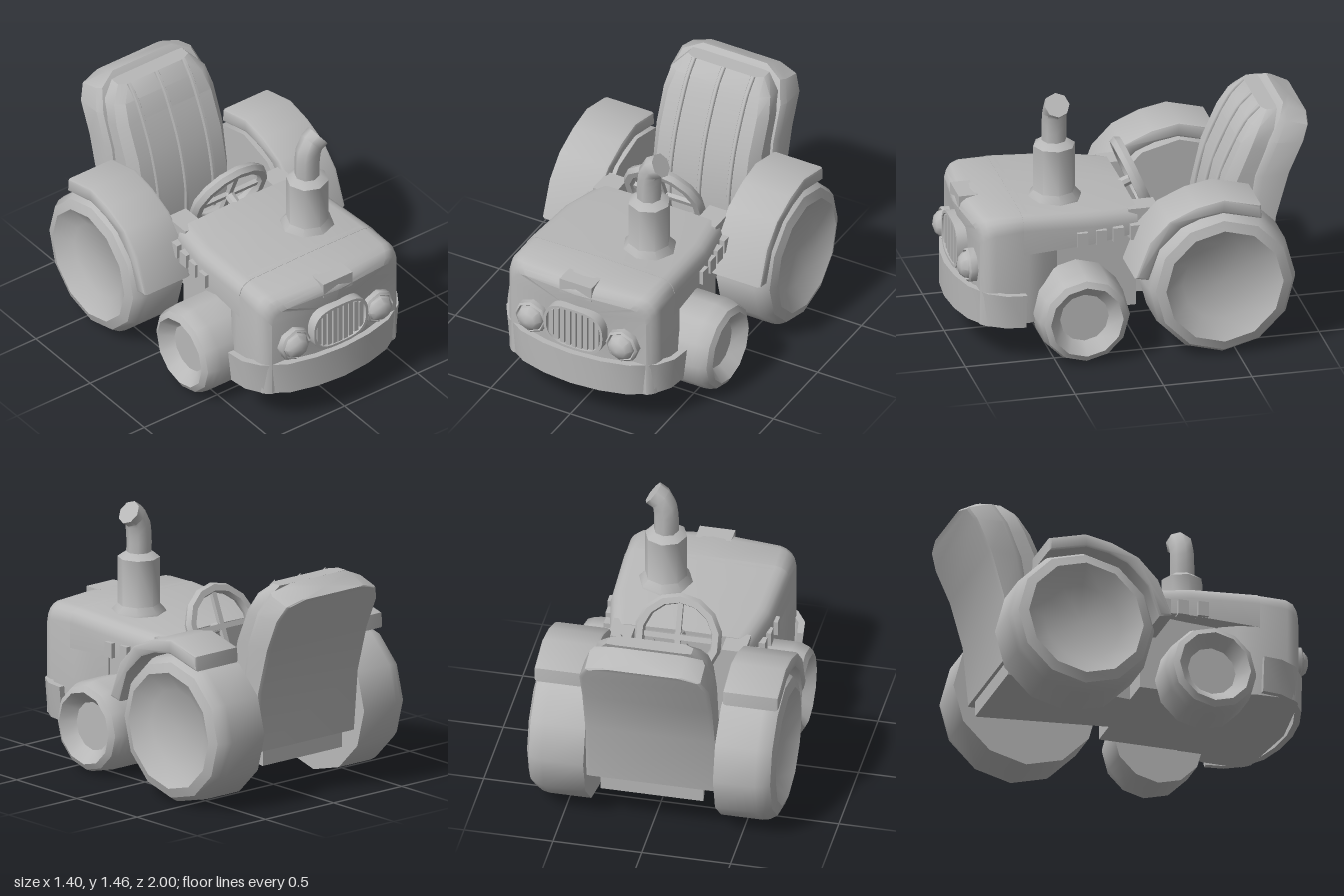
import * as THREE from 'three';
import { toCreasedNormals } from 'three/addons/utils/BufferGeometryUtils.js';

export function createModel() {
  const group = new THREE.Group();
  const grey = new THREE.MeshStandardMaterial({ color: 0xb8b8b8 });
  grey.name = 'plain grey';

  const add = (name, geo, x = 0, y = 0, z = 0, crease = 0.6) => {
    const mesh = new THREE.Mesh(toCreasedNormals(geo, crease), grey);
    mesh.name = name;
    mesh.position.set(x, y, z);
    group.add(mesh);
    return mesh;
  };
  const box = (name, w, h, d, x, y, z) => add(name, new THREE.BoxGeometry(w, h, d), x, y, z);

  // Skin a stack of rings (counter-clockwise seen from the last ring) and cap both ends
  const loft = (rings) => {
    const n = rings[0].length, pos = rings.flat(2), idx = [];
    for (let r = 0; r < rings.length - 1; r++) {
      for (let i = 0; i < n; i++) {
        const a = r * n + i, b = r * n + (i + 1) % n;
        idx.push(a, b, b + n, a, b + n, a + n);
      }
    }
    [rings[0], rings[rings.length - 1]].forEach((ring, end) => {
      const c = pos.length / 3, base = end ? (rings.length - 1) * n : 0;
      for (let k = 0; k < 3; k++) pos.push(ring.reduce((s, p) => s + p[k], 0) / n);
      for (let i = 0; i < n; i++) {
        const a = base + i, b = base + (i + 1) % n;
        idx.push(c, end ? a : b, end ? b : a);
      }
    });
    const g = new THREE.BufferGeometry();
    g.setAttribute('position', new THREE.Float32BufferAttribute(pos, 3));
    g.setIndex(idx);
    g.computeVertexNormals();
    return g;
  };

  // Bonnet cross-section with rounded top corners; bow curves the nose
  const bodyRing = ([z, w, top, bot, r = 0.08, bow = 0]) => [
    [w, bot], [w, top - r], [w - 0.1 * r, top - 0.6 * r], [w - 0.3 * r, top - 0.3 * r],
    [w - 0.6 * r, top - 0.1 * r], [w - r, top], [0, top + 0.006],
    [r - w, top], [0.6 * r - w, top - 0.1 * r], [0.3 * r - w, top - 0.3 * r],
    [0.1 * r - w, top - 0.6 * r], [-w, top - r], [-w, bot], [0, bot],
  ].map(([x, y]) => [x, y, z - bow * x * x]);

  add('nose', loft([
    [0.45, 0.37, 0.82, 0.21], [0.54, 0.43, 0.835, 0.21], [0.63, 0.465, 0.842, 0.21],
    [0.85, 0.47, 0.84, 0.21, 0.09, 0.15], [0.91, 0.46, 0.825, 0.21, 0.09, 0.25],
    [0.94, 0.44, 0.80, 0.21, 0.09, 0.3], [0.95, 0.42, 0.77, 0.21, 0.09, 0.3],
  ].map(bodyRing)));
  add('bonnet', loft([
    [0, 0.40, 0.80, 0.66], [0.27, 0.455, 0.825, 0.64], [0.66, 0.468, 0.843, 0.62],
  ].map(bodyRing)));
  box('chassis', 0.72, 0.45, 0.5, 0, 0.435, 0.25);

  // Tapered floor under the seat
  const floorRing = (y) => [[0.18, y, 0.05], [0.29, y, -0.74], [-0.29, y, -0.74], [-0.18, y, 0.05]];
  add('floor', loft([floorRing(0.21), floorRing(0.36)]));

  // Grille: oval frame with upright bars
  const oval = (w, h) => {
    const s = new THREE.Shape();
    for (let i = 0; i < 32; i++) {
      const a = i / 32 * Math.PI * 2, c = Math.cos(a), d = Math.sin(a);
      s[i ? 'lineTo' : 'moveTo'](w * Math.sign(c) * Math.abs(c) ** 0.6, h * Math.sign(d) * Math.abs(d) ** 0.8);
    }
    return s;
  };
  const frame = oval(0.185, 0.135);
  frame.holes.push(oval(0.17, 0.12));
  add('grilleFrame', new THREE.ExtrudeGeometry(frame, { depth: 0.06, bevelEnabled: false }), 0, 0.55, 0.91);
  for (let i = -4; i <= 4; i++) {
    const h = 0.24 * Math.sqrt(1 - (i / 5.6) ** 2);
    box('grilleBar', 0.027, h, 0.05, i * 0.036, 0.55, 0.938);
  }
  box('nosePlate', 0.2, 0.09, 0.11, 0, 0.80, 0.885);

  // Curved bumper, slightly narrower at its lower edge
  const half = [[0.545, 0.66], [0.53, 0.77], [0.47, 0.865], [0.34, 0.945], [0.18, 0.985], [0, 1]];
  const inner = [[0, 0.965], [0.17, 0.95], [0.32, 0.912], [0.44, 0.84], [0.495, 0.76], [0.51, 0.66]];
  const flip = (p) => p.map(([x, z]) => [-x, z]).reverse();
  const plan = [...half, ...flip(half).slice(1), ...flip(inner), ...inner.slice(1)];
  const bumper = new THREE.ExtrudeGeometry(
    new THREE.Shape(plan.map(([x, z]) => new THREE.Vector2(x, -z))), { depth: 0.2, bevelEnabled: false });
  bumper.rotateX(-Math.PI / 2);
  const bp = bumper.attributes.position;
  for (let i = 0; i < bp.count; i++) if (bp.getY(i) < 0.1) bp.setX(i, bp.getX(i) * 0.96);
  add('bumper', bumper, 0, 0.21, 0);

  const lathe = (pts, n) => new THREE.LatheGeometry(pts.map(([r, y]) => new THREE.Vector2(r, y)), n);

  // Wheel with a dished hub, its axis along x
  const wheel = (r, w) => lathe([
    [0, 0], [r, 0], [r, w - 0.1], [r * 0.98, w - 0.06], [r * 0.92, w - 0.02], [r * 0.79, w],
    [r * 0.53, w - 0.07], [0, w - 0.07],
  ], 12).rotateZ(-Math.PI / 2);

  // Mudguard arch, profile in z and y
  const arch = new THREE.Shape([
    [0.065, 0.52], [-0.01, 0.71], [-0.12, 0.825], [-0.27, 0.89], [-0.42, 0.92], [-0.615, 0.87], [-0.62, 0.815],
    [-0.415, 0.868], [-0.28, 0.845], [-0.17, 0.80], [-0.045, 0.68], [0.015, 0.51],
  ].map(([z, y]) => new THREE.Vector2(z, y)));
  const guard = new THREE.ExtrudeGeometry(arch, { depth: 0.28, bevelSize: 0.015, bevelThickness: 0.018, bevelSegments: 2 });
  guard.rotateY(-Math.PI / 2).translate(0.14, 0, 0);

  const lamp = lathe([[0.1, 0], [0.1, 0.045], [0.088, 0.055], [0.08, 0.045], [0.075, 0.065], [0.05, 0.092], [0, 0.108]], 8);
  lamp.rotateX(Math.PI / 2);

  for (const s of [1, -1]) {
    const turn = s > 0 ? 0 : Math.PI;
    add('rearWheel', wheel(0.42, 0.335), s * 0.365, 0.42, -0.42).rotation.y = turn;
    add('frontWheel', wheel(0.26, 0.28), s * 0.365, 0.26, 0.345).rotation.y = turn;
    add('mudguard', guard, s * 0.53, 0, 0);
    add('headlight', lamp, s * 0.285, 0.515, 0.89, 0.8);
    box('cowlWing', 0.13, 0.17, 0.17, s * 0.32, 0.712, -0.035);
    // Side vents under the bonnet edge
    [0.33, 0.22, 0.12, 0.02].forEach((z) =>
      box('vent', 0.06, 0.085, 0.06, s * (0.41 + z * 0.12), 0.68, z));
  }
  const axle = new THREE.CylinderGeometry(0.07, 0.07, 0.8, 8).rotateZ(Math.PI / 2);
  add('rearAxle', axle, 0, 0.36, -0.42);

  // Exhaust: flared drum and bent pipe
  add('exhaustDrum', lathe([
    [0.155, 0], [0.15, 0.02], [0.118, 0.055], [0.118, 0.32], [0.075, 0.35], [0, 0.35],
  ], 8), 0.175, 0.82, 0.42, 0.85);
  const bend = new THREE.CatmullRomCurve3([[0.175, 1.12], [0.175, 1.28], [0.195, 1.365], [0.248, 1.405]]
    .map(([x, y]) => new THREE.Vector3(x, y, 0.42)));
  add('exhaustPipe', new THREE.TubeGeometry(bend, 6, 0.07, 8), 0, 0, 0, 0.85);
  const tip = add('exhaustTip', new THREE.CircleGeometry(0.07, 8), 0.248, 1.405, 0.42);
  tip.lookAt(tip.position.clone().add(bend.getTangent(1)));

  // Steering wheel with crossed spokes and a column
  const steering = new THREE.Group();
  steering.name = 'steeringWheel';
  const part = (name, geo) => {
    const m = add(name, geo);
    steering.add(m);
    return m;
  };
  part('rim', lathe([[0.2, -0.03], [0.235, -0.03], [0.25, 0], [0.235, 0.03], [0.2, 0.03], [0.19, 0], [0.2, -0.03]], 14)
    .rotateX(Math.PI / 2));
  part('spoke', new THREE.BoxGeometry(0.41, 0.03, 0.025));
  part('spoke', new THREE.BoxGeometry(0.03, 0.41, 0.025));
  part('column', new THREE.CylinderGeometry(0.03, 0.03, 0.2, 8).rotateX(Math.PI / 2)).position.z = 0.1;
  steering.position.set(0, 0.81, -0.07);
  steering.rotation.x = 0.39;
  group.add(steering);

  // Seat slabs: each ring joins a front point and a back point
  const slab = (rows, bevel, tf, tb) => loft(rows.map(([w, zf, yf, zb, yb]) => {
    const at = (x, t) => [x, yf + (yb - yf) * t, zf + (zb - zf) * t];
    const v = w - bevel;
    return [at(w, tf), at(w, 1 - tb), at(v, 1), at(-v, 1), at(-w, 1 - tb), at(-w, tf), at(-v, 0), at(v, 0)];
  }));
  add('seatShell', slab([
    [0.365, -0.66, 0.30, -0.76, 0.30], [0.365, -0.64, 0.65, -0.795, 0.65], [0.365, -0.68, 0.90, -0.87, 0.91],
    [0.365, -0.76, 1.10, -0.95, 1.09], [0.325, -0.825, 1.22, -0.985, 1.17], [0.22, -0.87, 1.265, -1.0, 1.2],
  ], 0.02, 0.2, 0.05));
  const cushion = [
    [0.33, -0.46, 0.34, -0.70, 0.34], [0.33, -0.46, 0.62, -0.70, 0.62], [0.33, -0.52, 0.88, -0.70, 0.84],
    [0.33, -0.61, 1.08, -0.77, 1.04], [0.31, -0.67, 1.18, -0.80, 1.17], [0.24, -0.74, 1.25, -0.83, 1.25],
  ];
  add('seatCushion', slab(cushion, 0.05, 0.3, 0.05));
  // Raised seams down the cushion
  const seam = new THREE.CatmullRomCurve3(cushion.map(([, z, , , ], i) =>
    new THREE.Vector3(0, cushion[i][2], z)));
  for (const x of [-0.185, 0, 0.185]) {
    add('seatSeam', new THREE.TubeGeometry(seam, 16, 0.014, 6), x, 0, 0, 1.2);
  }
  return group;
}
